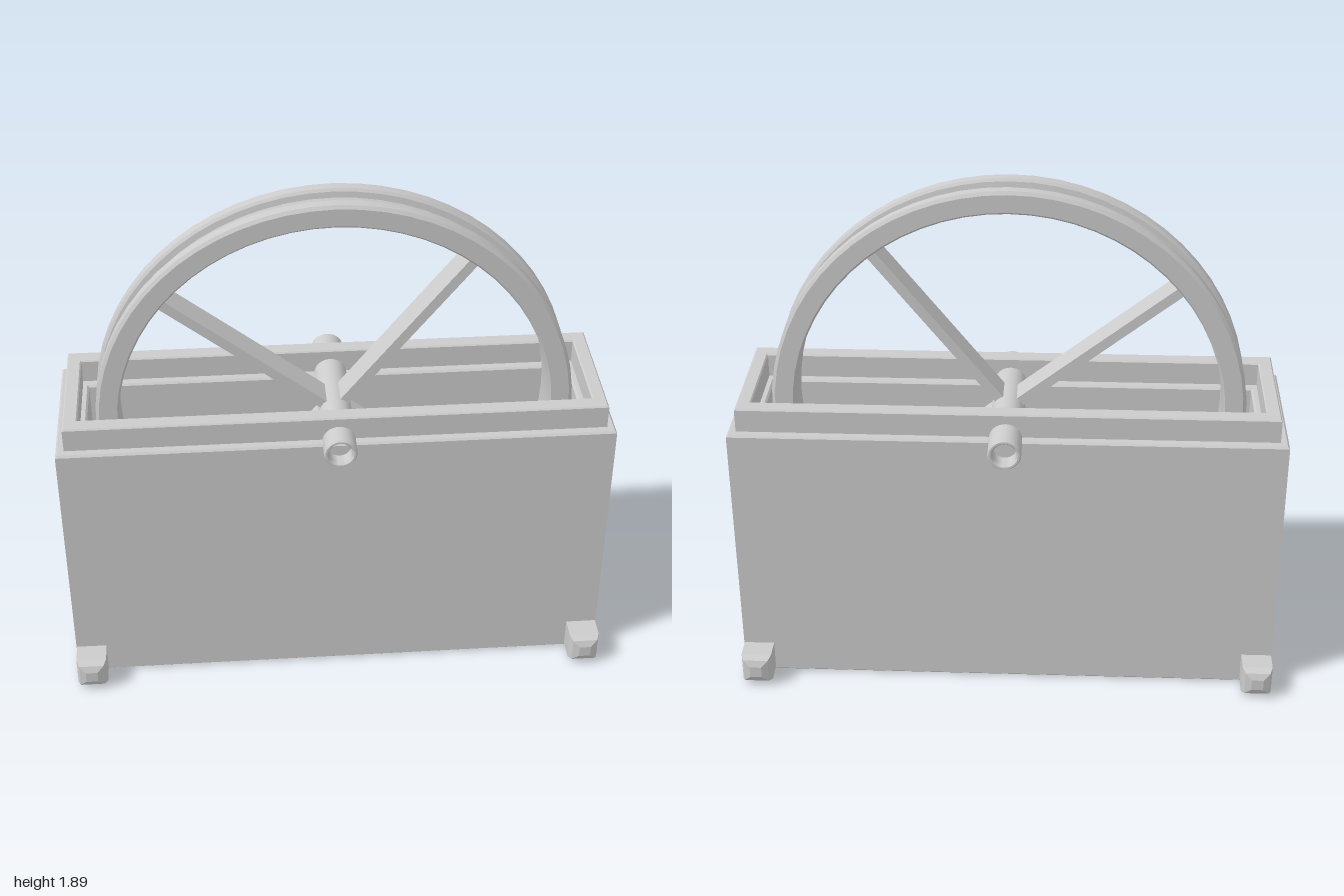
import * as THREE from 'three';
import { toCreasedNormals } from 'three/addons/utils/BufferGeometryUtils.js';

const grey = new THREE.MeshStandardMaterial({ color: 0xcccccc });

function part(name, geometry, crease = 0.5) {
  const mesh = new THREE.Mesh(toCreasedNormals(geometry, crease), grey);
  mesh.name = name;
  return mesh;
}

function rectangle(Type, hx, hz) {
  return new Type([[-hx, -hz], [hx, -hz], [hx, hz], [-hx, hz]].map((p) => new THREE.Vector2(...p)));
}

// Rectangular frame with walls, bevelled slightly, from y0 to y1
function frame(name, hx, hz, holeX, holeZ, y0, y1, bevel) {
  const shape = rectangle(THREE.Shape, hx, hz);
  shape.holes.push(rectangle(THREE.Path, holeX, holeZ));
  const geo = new THREE.ExtrudeGeometry(shape, {
    depth: y1 - y0 - 2 * bevel, bevelThickness: bevel, bevelSize: bevel,
    bevelOffset: -bevel, bevelSegments: 1,
  });
  geo.rotateX(-Math.PI / 2).translate(0, y0 + bevel, 0.005);
  return part(name, geo);
}

// Solid of revolution around the z axis; profile is [radius, z]
function turned(name, profile, segments) {
  const geo = new THREE.LatheGeometry(profile.map((p) => new THREE.Vector2(...p)), segments);
  return part(name, geo.rotateX(Math.PI / 2));
}

// Square peg along +z with a rounded-off end
function foot() {
  const sections = [[0, 0], [0.085, 0], [0.112, 0.01], [0.123, 0.034]]; // [z, inset]
  const pos = [], index = [];
  for (const [z, inset] of sections) {
    const h = 0.056 - inset;
    pos.push(-h, -h, z, h, -h, z, h, h, z, -h, h, z);
  }
  for (let s = 0; s < sections.length - 1; s++) {
    for (let i = 0; i < 4; i++) {
      const a = s * 4 + i, b = s * 4 + (i + 1) % 4;
      index.push(a, b, b + 4, a, b + 4, a + 4);
    }
  }
  const e = (sections.length - 1) * 4;
  index.push(e, e + 1, e + 2, e, e + 2, e + 3);
  const geo = new THREE.BufferGeometry();
  geo.setAttribute('position', new THREE.Float32BufferAttribute(pos, 3));
  geo.setIndex(index);
  return part('foot', geo, 0.1);
}

export function createModel() {
  const model = new THREE.Group();
  model.name = 'wheelInBox';

  // Hollow housing with a floor and a stepped lip
  const floor = part('housingFloor', new THREE.BoxGeometry(1.84, 0.09, 0.38));
  floor.position.set(0, 0.047, 0.005);
  model.add(
    frame('housing', 1, 0.278, 0.895, 0.153, 0, 1.03, 0.007),
    frame('lip', 0.97, 0.245, 0.918, 0.186, 1.02, 1.12, 0.005),
    floor,
  );

  // Four feet, sticking out at front and back
  for (const x of [-0.942, 0.942]) {
    for (const side of [1, -1]) {
      const peg = foot();
      peg.position.set(x, 0.068, 0.005 + side * 0.268);
      if (side < 0) peg.rotation.y = Math.PI;
      model.add(peg);
    }
  }

  // Axle with a shallow bore in each end
  const axle = turned('axle', [
    [0, -0.3], [0.042, -0.3], [0.042, -0.352], [0.048, -0.36], [0.055, -0.36], [0.06, -0.353],
    [0.06, 0.328], [0.055, 0.335], [0.048, 0.335], [0.042, 0.327], [0.042, 0.275], [0, 0.275],
  ], 32);
  axle.position.set(0.004, 1.023, 0);
  model.add(axle);

  // Grooved wheel
  const wheel = new THREE.Group();
  wheel.name = 'wheel';
  wheel.position.set(0.003, 1.027, 0.022);
  wheel.add(turned('wheelRim', [
    [0.787, -0.086], [0.852, -0.086], [0.864, -0.077], [0.864, -0.042], [0.855, -0.034],
    [0.834, -0.03], [0.825, -0.021], [0.825, 0.021], [0.834, 0.03], [0.855, 0.034],
    [0.864, 0.042], [0.864, 0.077], [0.852, 0.086], [0.787, 0.086],
    [0.78, 0.079], [0.78, -0.079], [0.787, -0.086],
  ], 64));

  // Four flat spokes
  for (let i = 0; i < 4; i++) {
    const spoke = part('spoke', new THREE.BoxGeometry(0.78, 0.036, 0.11).translate(0.405, 0, 0));
    spoke.rotation.z = THREE.MathUtils.degToRad(51.5 + i * 90);
    wheel.add(spoke);
  }
  model.add(wheel);
  return model;
}
